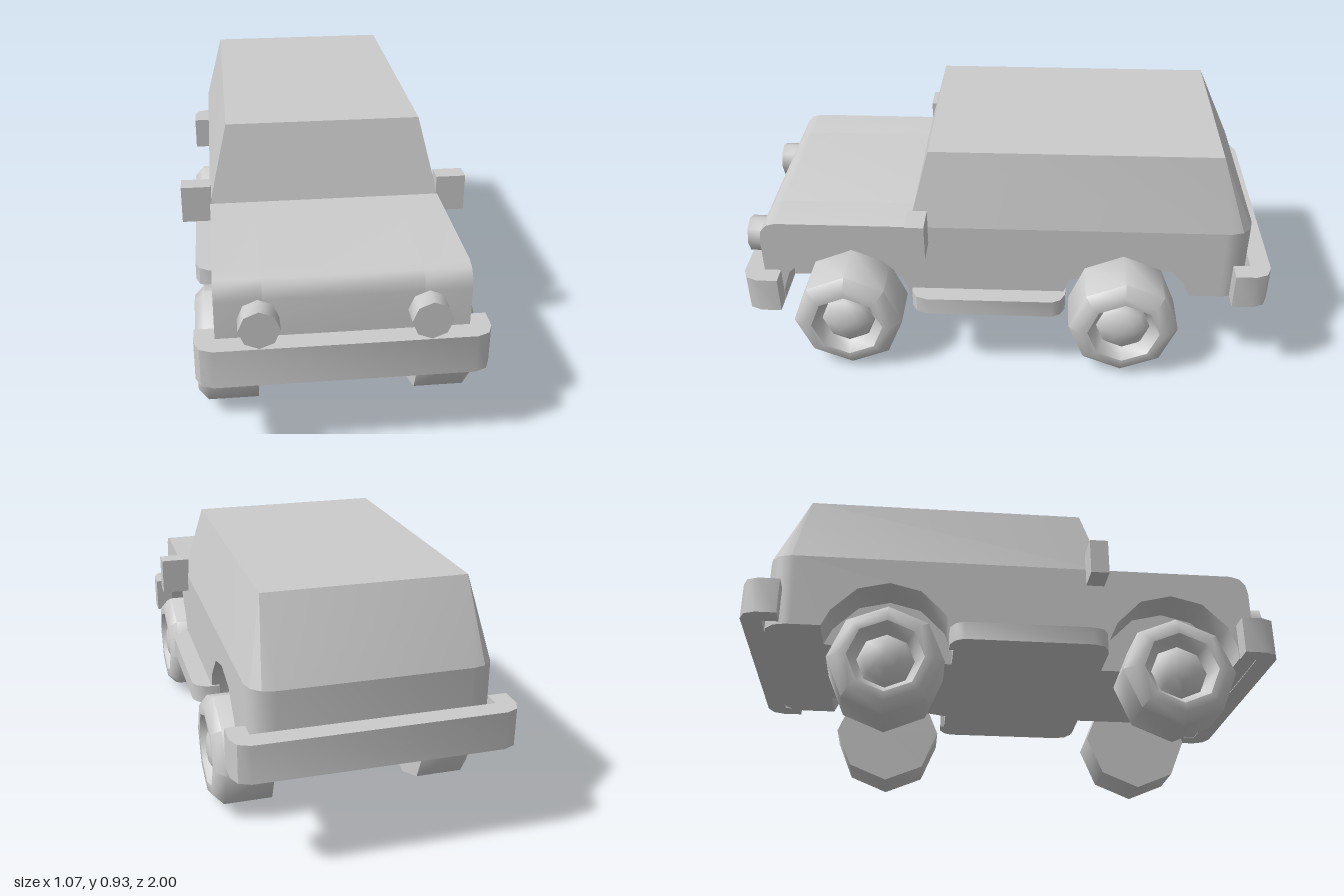
import * as THREE from 'three';
import { toCreasedNormals } from 'three/addons/utils/BufferGeometryUtils.js';
import { ConvexGeometry } from 'three/addons/geometries/ConvexGeometry.js';

const material = new THREE.MeshStandardMaterial({ color: 0xcccccc });
const HALF = 0.43;          // half width of the body
const WELL = 0.27;          // inner wall of the wheel wells
const AXLES = { front: 0.615, rear: -0.465 };

const toShape = (points) => new THREE.Shape(points.map(([a, b]) => new THREE.Vector2(a, b)));
const extrude = (points, depth) =>
  new THREE.ExtrudeGeometry(toShape(points), { depth, bevelEnabled: false });

// Side profile given as (z, y), spanning x0 to x1
const sideExtrude = (points, x0, x1) =>
  extrude(points, x1 - x0).rotateY(-Math.PI / 2).translate(x1, 0, 0);

// Plan given as (x, z), spanning y0 to y1
const planExtrude = (points, y0, y1) =>
  extrude(points, y1 - y0).rotateX(Math.PI / 2).translate(0, y1, 0);

// Adds the other half of an open outline that runs from +x
const mirrorX = (half) => [...half, ...half.map(([x, z]) => [-x, z]).reverse()];

export function createModel() {
  const model = new THREE.Group();
  const add = (name, geometry, crease = 0.6) => {
    const mesh = new THREE.Mesh(toCreasedNormals(geometry, crease), material);
    mesh.name = name;
    model.add(mesh);
    return mesh;
  };

  // Upper edge of the body, from the tail forward and down the rounded nose
  const upper = [
    [-0.82, 0.645], [0.86, 0.645], [0.895, 0.635], [0.918, 0.608], [0.925, 0.57], [0.925, 0.29],
  ];
  add('bodyCentre', sideExtrude([...upper, [-0.23, 0.29], [-0.71, 0.355], [-0.82, 0.355]], -WELL, WELL));

  // Outer body sides with wheel arches cut into the lower edge
  const arch = (z) => [
    [0.245, 0.335], [0.215, 0.42], [0.12, 0.515], [0, 0.545],
    [-0.12, 0.515], [-0.215, 0.42], [-0.245, 0.355],
  ].map(([dz, y]) => [z + dz, y]);
  const sideProfile = [
    ...upper, [0.86, 0.29], ...arch(AXLES.front), [0.36, 0.29],
    [-0.22, 0.29], ...arch(AXLES.rear), [-0.82, 0.355],
  ];
  add('bodySideLeft', sideExtrude(sideProfile, WELL, HALF));
  add('bodySideRight', sideExtrude(sideProfile, -HALF, -WELL));

  // Tail with rounded corners
  const tailCorner = [[HALF, -0.84], [0.418, -0.885], [0.385, -0.915], [0.34, -0.925]];
  add('tail', planExtrude(mirrorX([[HALF, -0.82], ...tailCorner]), 0.355, 0.645));

  // Cabin tapering up to a sharp-cornered roof
  const cabinBase = mirrorX([[HALF, 0.355], ...tailCorner]);
  const roof = mirrorX([[0.36, 0.28], [0.36, -0.79]]);
  add('cabin', new ConvexGeometry([
    ...cabinBase.map(([x, z]) => new THREE.Vector3(x, 0.645, z)),
    ...roof.map(([x, z]) => new THREE.Vector3(x, 0.93, z)),
  ]), 0.4);

  // Wrap-around bumpers, the rear one being the front one turned and raised
  const bumperPlan = [
    [0.5, 0.862], [0.5, 0.94], [0.482, 0.982], [0.44, 1],
    [-0.44, 1], [-0.482, 0.982], [-0.5, 0.94], [-0.5, 0.862],
    [-HALF, 0.862], [-HALF, 0.925], [HALF, 0.925], [HALF, 0.862],
  ];
  add('frontBumper', planExtrude(bumperPlan, 0.287, 0.43));
  add('rearBumper', planExtrude(bumperPlan, 0.363, 0.503).rotateY(Math.PI));

  // Wheel: tread, outer chamfer, recessed rim and domed hub
  const wheelProfile = [
    [0, 0.285], [0.213, 0.285], [0.213, 0.465], [0.175, 0.5], [0.14, 0.5],
    [0.105, 0.45], [0.09, 0.472], [0.05, 0.492], [0, 0.498],
  ].map(([r, y]) => new THREE.Vector2(r, y));
  const boardPlan = [
    [0.4, 0.36], [0.45, 0.355], [0.485, 0.335], [0.5, 0.295],
    [0.5, -0.185], [0.485, -0.215], [0.45, -0.235], [0.4, -0.237],
  ];

  for (const side of [1, -1]) {
    const label = side > 0 ? 'Left' : 'Right';
    const turn = side > 0 ? 0 : Math.PI;

    for (const [end, z] of Object.entries(AXLES)) {
      const wheel = new THREE.LatheGeometry(wheelProfile, 8).rotateZ(-Math.PI / 2).rotateY(turn);
      add(`${end}Wheel${label}`, wheel.translate(0, 0.213, z), 0.8);
    }

    add(`runningBoard${label}`, planExtrude(boardPlan.map(([x, z]) => [side * x, z]), 0.29, 0.36));

    add(`mirror${label}`,
      new THREE.BoxGeometry(0.11, 0.14, 0.07).translate(side * 0.48, 0.645, 0.32));

    add(`headlight${label}`,
      new THREE.CylinderGeometry(0.07, 0.07, 0.1, 8).rotateX(Math.PI / 2).translate(side * 0.285, 0.502, 0.95), 0.9);
  }

  return model;
}
